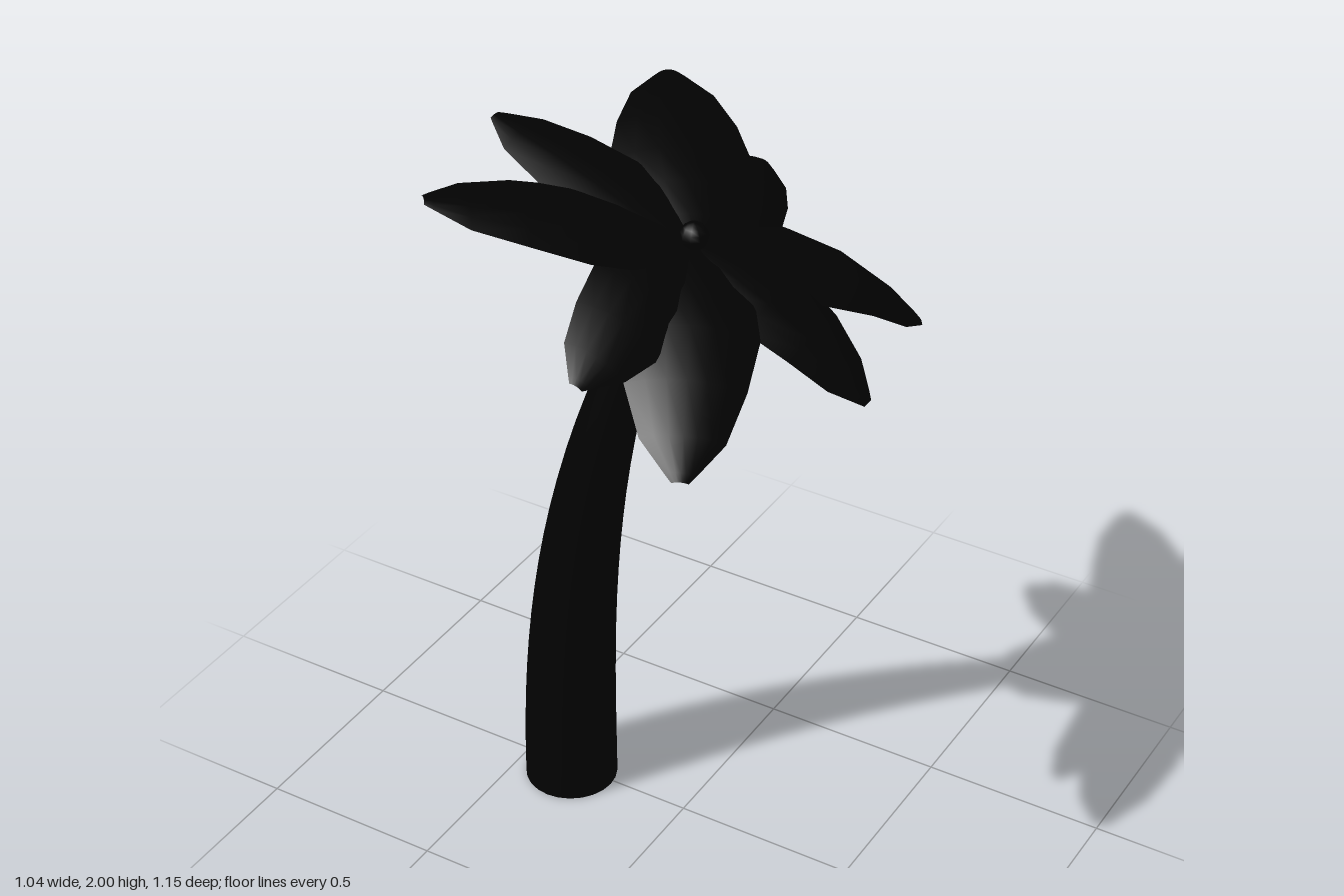
import * as THREE from 'three';

const black = new THREE.MeshStandardMaterial({ color: 0x020202, side: THREE.DoubleSide });
black.name = 'black';

const CENTRE = new THREE.Vector3(0.03, 1.79, 0.015);    // where the fronds meet
const SHORT_TILT = new THREE.Vector3(0.4, 0.917, 0);    // short fronds roll towards +x
const LONG_TILT = new THREE.Vector3(0.12, 0.993, 0);    // long fronds lie flatter

// Curved, tapering trunk: a cylinder bent along a power curve
function makeTrunk() {
  const geo = new THREE.CylinderGeometry(1, 1, 1, 24, 20);
  const pos = geo.attributes.position;
  for (let i = 0; i < pos.count; i++) {
    const y = (pos.getY(i) + 0.5) * 1.79;
    const radius = 0.126 - 0.036 * y ** 1.7;
    const lean = Math.atan(0.216 * y ** 1.457);
    const x = pos.getX(i) * radius;
    pos.setXYZ(i, -0.35 + 0.088 * y ** 2.457 + x * Math.cos(lean),
      y - x * Math.sin(lean), 0.015 + pos.getZ(i) * radius);
  }
  geo.computeVertexNormals();
  return geo;
}

// Arched frond with a blunt tip: rows of [distance along, half width / length]
const OUTLINE = [[0, 0.05], [0.12, 0.15], [0.27, 0.232], [0.43, 0.252], [0.65, 0.212], [0.85, 0.148], [0.97, 0.055], [1, 0.03]];
const ACROSS = 6;

function makeFrond(tip, tilt) {
  const along = tip.clone().sub(CENTRE);
  const length = along.length();
  const side = along.clone().cross(tilt).normalize();
  const up = side.clone().cross(along).normalize();
  const arch = 0.34 * length - 0.27 * along.y; // hanging fronds arch more
  const points = [];
  const index = [];
  OUTLINE.forEach(([t, w], row) => {
    for (let j = 0; j <= ACROSS; j++) {
      const s = (j / ACROSS) * 2 - 1;
      const lift = arch * t * (1 - t) - 0.26 * s * s * w * length;
      const p = CENTRE.clone().addScaledVector(along, t)
        .addScaledVector(side, s * w * length).addScaledVector(up, lift);
      points.push(p.x, p.y, p.z);
      if (row && j) {
        const d = row * (ACROSS + 1) + j, b = d - ACROSS - 1;
        index.push(b - 1, b, d - 1, b, d, d - 1);
      }
    }
  });
  const geo = new THREE.BufferGeometry();
  geo.setAttribute('position', new THREE.Float32BufferAttribute(points, 3));
  geo.setIndex(index);
  geo.computeVertexNormals();
  return geo;
}

export function createModel() {
  const palm = new THREE.Group();
  palm.name = 'palmTree';
  const add = (name, geo) => {
    const mesh = new THREE.Mesh(geo, black);
    mesh.name = name;
    palm.add(mesh);
    return mesh;
  };

  add('trunk', makeTrunk());

  // Fronds, given by their tips: four short ones and four long ones between them
  [[-0.52, 1.985, 0.015], [-0.1, 1.7, -0.573], [0.518, 1.5, 0.015], [0.057, 1.7, 0.57]]
    .forEach((tip, i) => add('shortFrond' + (i + 1), makeFrond(new THREE.Vector3(...tip), SHORT_TILT)));
  [[-0.375, 1.89, -0.56], [0.408, 1.44, -0.473], [0.325, 1.525, 0.56], [-0.42, 1.995, 0.46]]
    .forEach((tip, i) => add('longFrond' + (i + 1), makeFrond(new THREE.Vector3(...tip), LONG_TILT)));

  // Bud at the middle of the crown
  add('bud', new THREE.SphereGeometry(0.037, 10, 8)).position.set(0.038, 1.81, 0.015);
  return palm;
}
